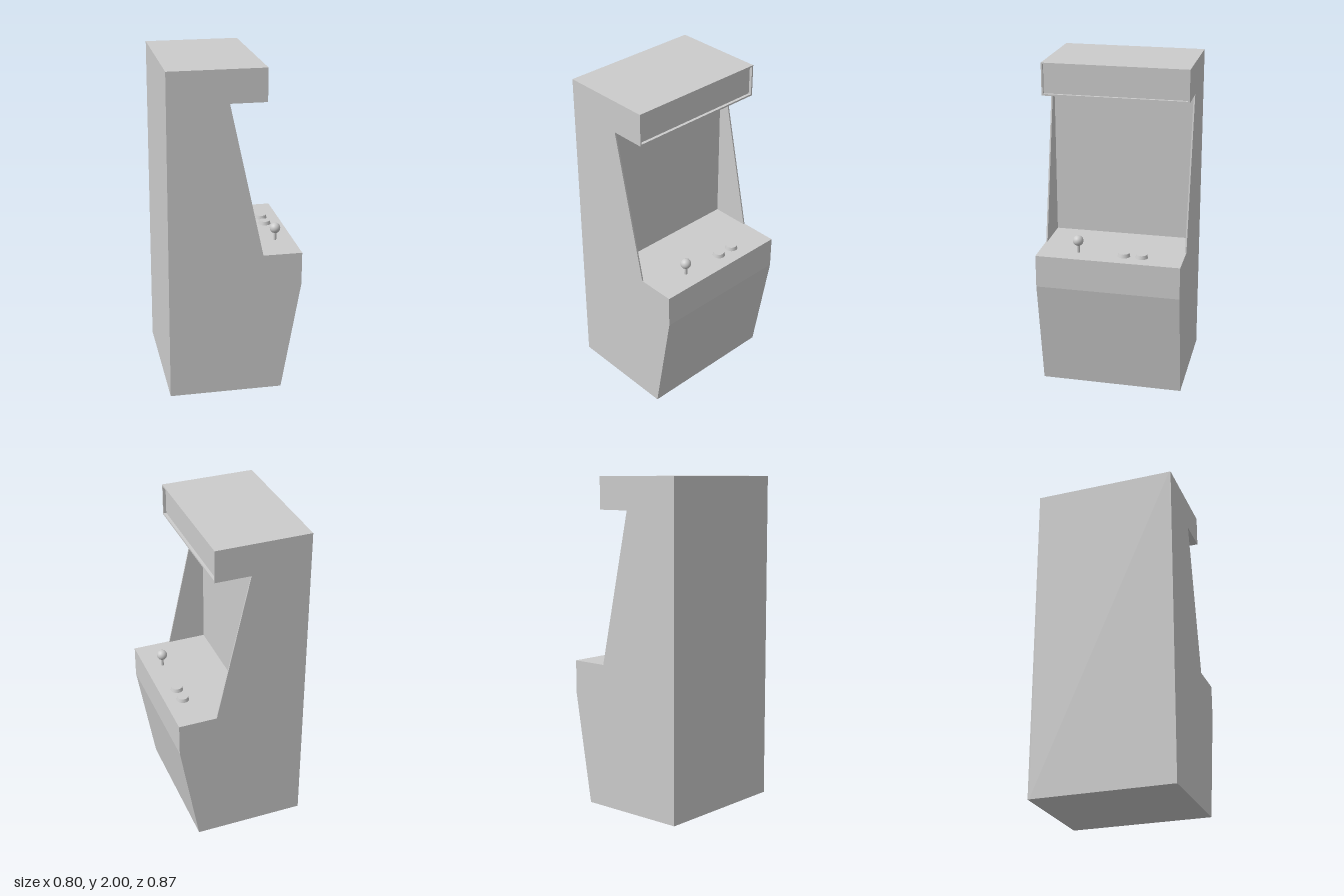
import * as THREE from 'three';

const HALF = 0.437;   // half of the cabinet width, along z
const SIDE = 0.009;   // side panel thickness
const DECK = 0.88;    // control deck height

export function createModel() {
  const group = new THREE.Group();
  const material = new THREE.MeshStandardMaterial({ color: 0xcccccc });

  const add = (name, geometry, x = 0, y = 0, z = 0) => {
    const mesh = new THREE.Mesh(geometry, material);
    mesh.name = name;
    mesh.position.set(x, y, z);
    group.add(mesh);
  };

  // Extrude an x-y outline along z
  const slab = (points, depth) => new THREE.ExtrudeGeometry(
    new THREE.Shape(points.map(([x, y]) => new THREE.Vector2(x, y))),
    { depth, bevelEnabled: false });

  const base = [[-0.4, 0], [0.285, 0], [0.4, 0.68], [0.4, DECK]];
  const back = [-0.396, 2];

  // Side panels with the full cabinet silhouette
  const outline = [...base, [0.165, DECK], [-0.038, 1.805], [0.178, 1.805], [0.178, 2], back];
  add('leftSidePanel', slab(outline, SIDE), 0, 0, HALF - SIDE);
  add('rightSidePanel', slab(outline, SIDE), 0, 0, -HALF);

  // Body between the panels: upright recessed screen, inset marquee face
  const core = [...base, [-0.072, DECK], [-0.072, 1.805], [0.178, 1.805],
    [0.178, 1.815], [0.16, 1.815], [0.16, 1.991], [0.178, 1.991], [0.178, 2], back];
  add('cabinetBody', slab(core, 2 * (HALF - SIDE)), 0, 0, -HALF + SIDE);

  // Joystick
  add('joystickShaft', new THREE.CylinderGeometry(0.009, 0.009, 0.06, 16), 0.29, DECK + 0.03, 0.2);
  add('joystickBall', new THREE.SphereGeometry(0.032, 32, 16), 0.29, 0.956, 0.2);

  // Push buttons with tapered sides
  for (const z of [-0.08, -0.188]) {
    add('button', new THREE.CylinderGeometry(0.032, 0.038, 0.022, 32), 0.29, DECK + 0.011, z);
  }

  return group;
}
